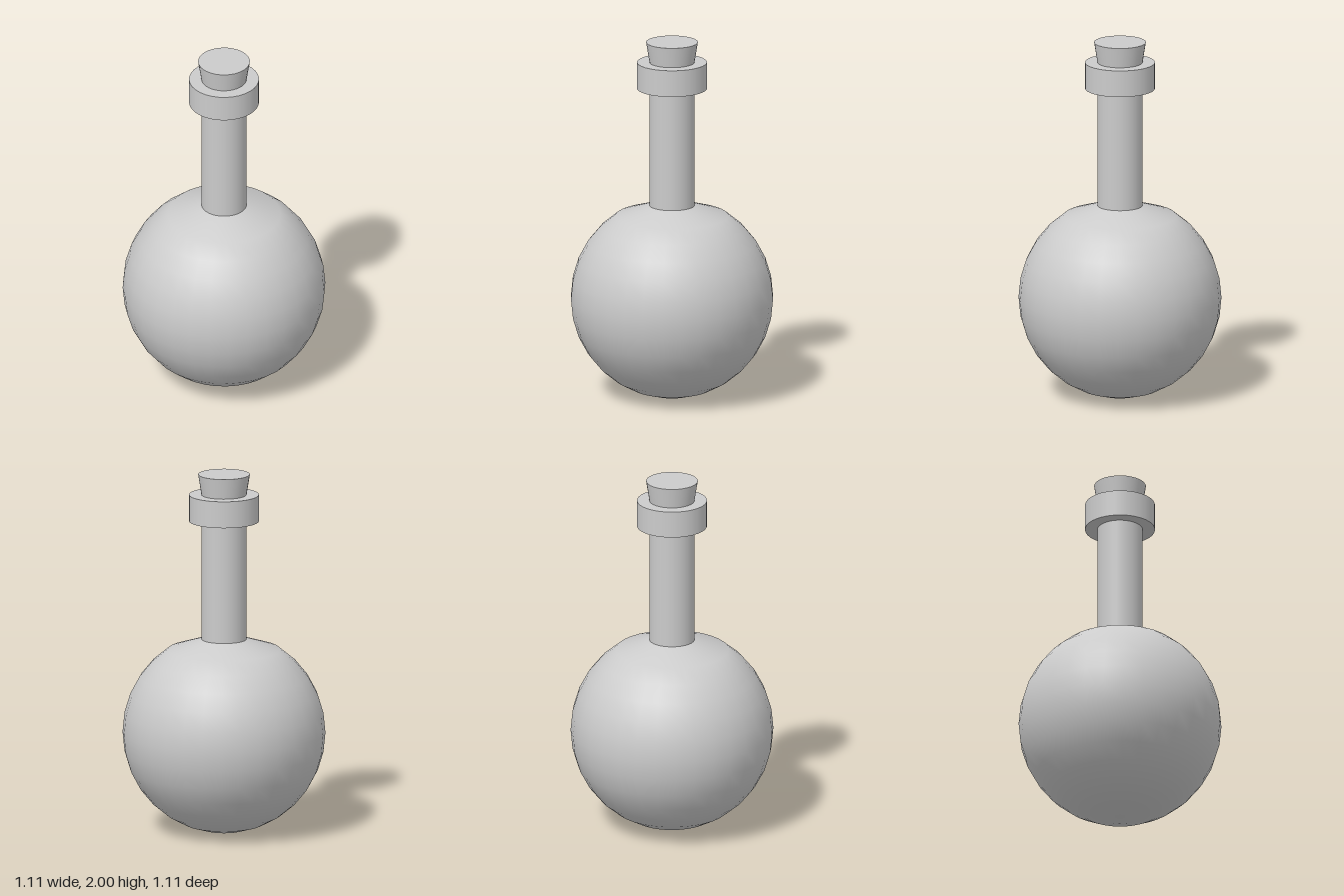
import * as THREE from 'three';

const SIDES = 32;

export function createModel() {
  const group = new THREE.Group();
  group.name = 'roundFlask';
  const material = new THREE.MeshStandardMaterial({ color: 0xcccccc });

  const add = (name, geometry, y = 0) => {
    const mesh = new THREE.Mesh(geometry, material);
    mesh.name = name;
    mesh.position.y = y;
    group.add(mesh);
  };
  // Round part between two heights
  const addRound = (name, topRadius, bottomRadius, y0, y1) =>
    add(name, new THREE.CylinderGeometry(topRadius, bottomRadius, y1 - y0, SIDES), (y0 + y1) / 2);

  // Spherical bulb: 16 rows from pole to pole, the top rows replaced by a straight shoulder
  const R = 0.556, neckR = 0.124, shoulderY = 1.077;
  const profile = [];
  for (let i = 0; i <= 13; i++) {
    const a = (i / 16) * Math.PI;
    profile.push(new THREE.Vector2(R * Math.sin(a), R - R * Math.cos(a)));
  }
  profile.push(new THREE.Vector2(neckR, shoulderY));
  add('bulb', new THREE.LatheGeometry(profile, SIDES));

  // Neck, lip ring and tapered stopper
  addRound('neck', neckR, neckR, shoulderY, 1.75);
  addRound('lip', 0.192, 0.192, 1.738, 1.886);
  addRound('stopper', 0.142, 0.118, 1.85, 2);

  return group;
}
